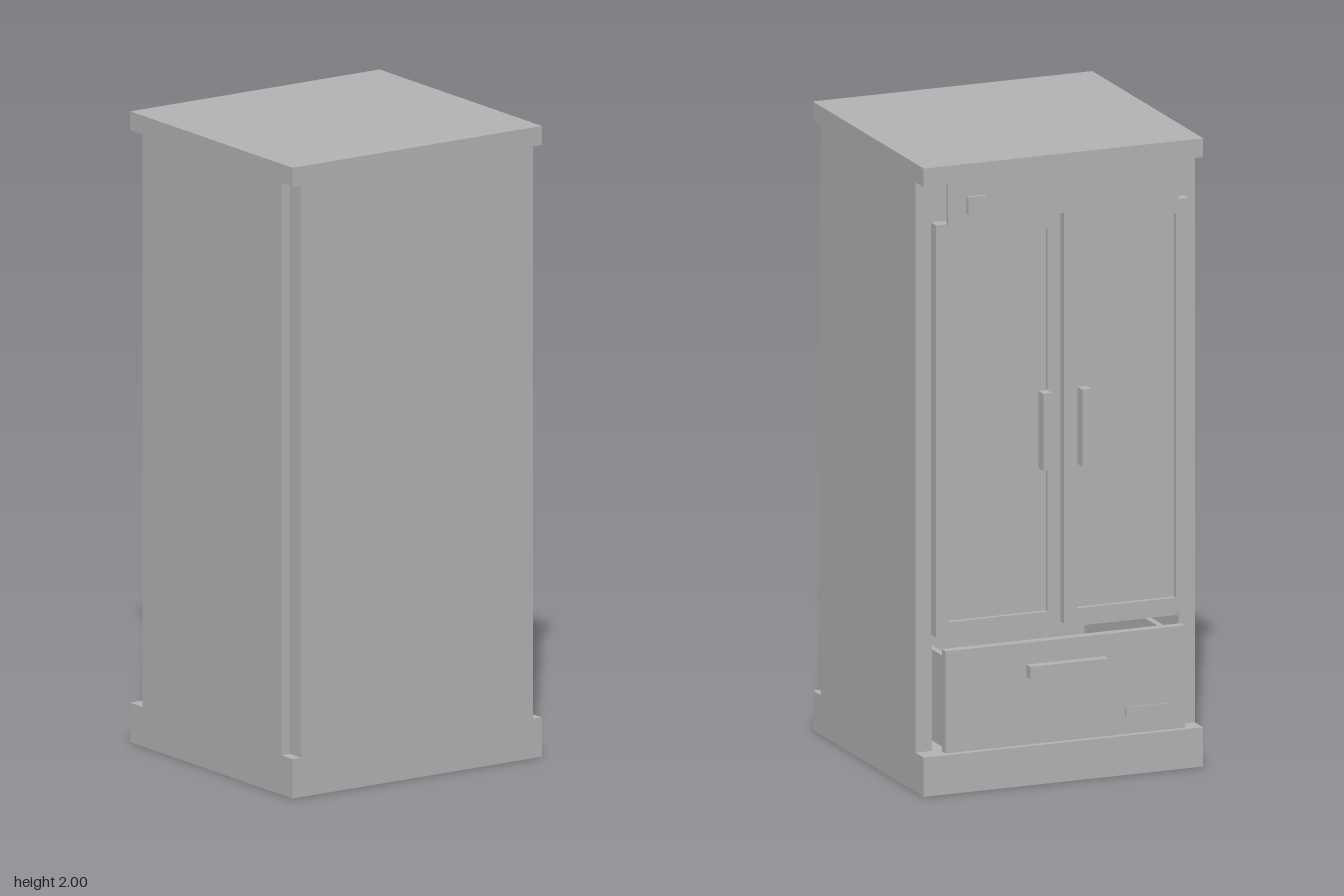
import * as THREE from 'three';

export function createModel() {
  const group = new THREE.Group();
  const grey = new THREE.MeshStandardMaterial({ color: 0xb2b2b2 });
  grey.name = 'plain grey';

  // Box given by its limits on each axis
  const box = (name, x0, x1, y0, y1, z0, z1, parent = group) => {
    const mesh = new THREE.Mesh(new THREE.BoxGeometry(x1 - x0, y1 - y0, z1 - z0), grey);
    mesh.position.set((x0 + x1) / 2, (y0 + y1) / 2, (z0 + z1) / 2);
    mesh.name = name;
    parent.add(mesh);
    return mesh;
  };

  // Cabinet shell, open towards the doors
  box('base', -0.467, 0.467, 0, 0.125, -0.415, 0.46);
  box('top', -0.467, 0.467, 1.94, 2, -0.415, 0.46);
  box('rearPanel', -0.435, 0.435, 0.125, 1.94, 0.4, 0.46);
  box('rearLining', -0.412, 0.412, 0.125, 1.94, 0.36, 0.4);
  for (const s of [-1, 1]) {
    const wall = box('sideWall', 0.412, 0.467, 0.125, 1.94, -0.35, 0.4);
    wall.position.x *= s;
  }

  // Interior
  box('divider', -0.412, 0.412, 0.47, 0.5, -0.34, 0.36);
  for (const y of [0.95, 1.48]) box('shelf', -0.412, 0.412, y, y + 0.02, -0.34, 0.36);

  // Fascia above the doors with its small badge
  box('fascia', -0.385, 0.385, 1.81, 1.94, -0.412, -0.4);
  box('badge', 0.26, 0.322, 1.84, 1.895, -0.424, -0.412);

  // Framed doors with recessed panels and bar handles
  for (const s of [-1, 1]) {
    const door = new THREE.Group();
    door.name = s > 0 ? 'leftDoor' : 'rightDoor';
    const frame = new THREE.Shape();
    frame.moveTo(-0.208, 0.5);
    frame.lineTo(0.208, 0.5);
    frame.lineTo(0.208, 1.812);
    frame.lineTo(-0.208, 1.812);
    const hole = new THREE.Path();
    hole.moveTo(-0.165, 0.545);
    hole.lineTo(-0.165, 1.767);
    hole.lineTo(0.165, 1.767);
    hole.lineTo(0.165, 0.545);
    frame.holes.push(hole);
    const rim = new THREE.Mesh(
      new THREE.ExtrudeGeometry(frame, { depth: 0.04, bevelEnabled: false }), grey);
    rim.name = 'doorFrame';
    rim.position.set(s * 0.214, 0, -0.406);
    door.add(rim);
    const panel = box('doorPanel', 0.049, 0.379, 0.545, 1.767, -0.391, -0.37, door);
    panel.position.x *= s;
    const handle = box('doorHandle', 0.05, 0.08, 1.005, 1.25, -0.447, -0.406, door);
    handle.position.x *= s;
    group.add(door);
  }

  // Open-topped drawer
  const drawer = new THREE.Group();
  drawer.name = 'drawer';
  box('drawerFront', -0.4, 0.4, 0.135, 0.46, -0.43, -0.4, drawer);
  box('drawerFloor', -0.385, 0.385, 0.14, 0.16, -0.4, 0.3, drawer);
  box('drawerBack', -0.385, 0.385, 0.16, 0.43, 0.28, 0.3, drawer);
  for (const s of [-1, 1]) {
    const side = box('drawerSide', 0.365, 0.385, 0.16, 0.43, -0.4, 0.28, drawer);
    side.position.x *= s;
  }
  box('drawerHandle', -0.13, 0.13, 0.35, 0.39, -0.46, -0.43, drawer);
  box('drawerPlate', -0.35, -0.2, 0.19, 0.22, -0.435, -0.43, drawer);
  group.add(drawer);

  return group;
}
